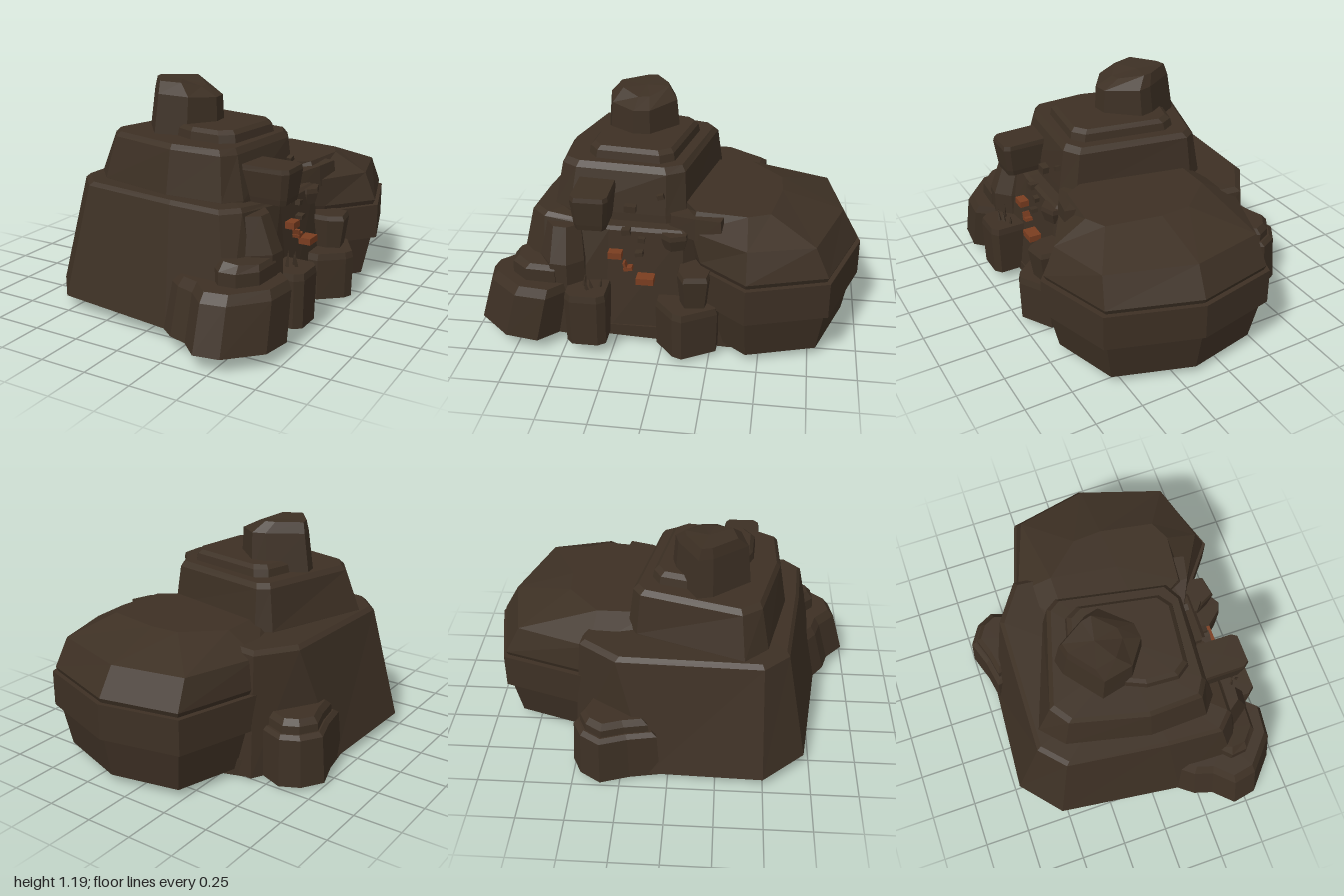
import * as THREE from 'three';

const stone = new THREE.MeshStandardMaterial({ color: 0x3d3024, flatShading: true });
const rust = new THREE.MeshStandardMaterial({ color: 0x7a3d20, flatShading: true });

// Height of the slightly tilted ground plane
const ground = (z) => 0.037 + 0.043 * z;

// Skin a stack of equally long rings of [x, y, z], bottom to top, with closed ends
function loft(name, rings) {
  const n = rings[0].length, pos = [];
  let area = 0;
  rings[0].forEach((a, i) => {
    const b = rings[0][(i + 1) % n];
    area += a[0] * b[2] - b[0] * a[2];
  });
  if (area > 0) rings = rings.map((r) => [...r].reverse());
  const mid = (r) => [0, 1, 2].map((k) => r.reduce((s, p) => s + p[k], 0) / n);
  const lo = rings[0], hi = rings[rings.length - 1], cLo = mid(lo), cHi = mid(hi);
  for (let i = 0; i < n; i++) {
    const j = (i + 1) % n;
    for (let k = 0; k + 1 < rings.length; k++) {
      const a = rings[k], b = rings[k + 1];
      pos.push(...a[i], ...a[j], ...b[j], ...a[i], ...b[j], ...b[i]);
    }
    pos.push(...cLo, ...lo[j], ...lo[i], ...cHi, ...hi[i], ...hi[j]);
  }
  const g = new THREE.BufferGeometry();
  g.setAttribute('position', new THREE.Float32BufferAttribute(pos, 3));
  g.computeVertexNormals();
  const mesh = new THREE.Mesh(g, stone);
  mesh.name = name;
  return mesh;
}

// Outline [x, z] scaled about its middle at each level [y or y(x, z), scale, dx, dz]
function ring(outline, [y, s, dx = 0, dz = 0]) {
  const cx = outline.reduce((t, p) => t + p[0], 0) / outline.length;
  const cz = outline.reduce((t, p) => t + p[1], 0) / outline.length;
  return outline.map((p) => {
    const x = cx + (p[0] - cx) * s + dx, z = cz + (p[1] - cz) * s + dz;
    return [x, typeof y === 'function' ? y(x, z) : y, z];
  });
}
const rock = (name, outline, levels) => loft(name, levels.map((l) => ring(outline, l)));
const floor = (x, z) => ground(z);

export function createModel() {
  const model = new THREE.Group();
  model.name = 'rockyHill';

  // Main body: broad lower tier with a thin bevelled rim, lower above the alcove wall
  const base = [[-0.72, 0.5], [-0.53, 0.72], [0.15, 0.81], [0.5, 0.82], [0.6, 0.62],
    [0.57, 0.3], [0.56, -0.1], [0.3, -0.5], [-0.42, -0.52], [-0.68, -0.1]];
  const rim = [[-0.56, 0.48], [-0.44, 0.61], [0.1, 0.68], [0.39, 0.7], [0.47, 0.62],
    [0.5, 0.28], [0.51, -0.1], [0.25, -0.4], [-0.4, -0.47], [-0.54, -0.27]];
  model.add(loft('lowerTier', [ring(base, [floor, 1]), ring(rim, [(x) => (x > 0.48 ? 0.62 : 0.66), 1]),
    ring(rim, [(x) => (x > 0.46 ? 0.635 : 0.68), 0.96])]));

  // Underside slab
  const slab = [[-0.5, 0.45], [-0.4, 0.62], [0.4, 0.7], [0.57, 0.45], [0.57, -0.35],
    [0.46, -0.62], [0, -0.62], [-0.4, -0.5], [-0.55, -0.1]];
  model.add(rock('underside', slab, [[(x, z) => ground(z) - 0.01, 1], [0.1, 1]]));

  // Upper tiers
  const secondFoot = [[-0.52, 0.38], [-0.41, 0.5], [0.03, 0.6], [0.34, 0.59], [0.41, 0.5],
    [0.43, 0], [0.38, -0.1], [-0.24, -0.23], [-0.32, -0.18]];
  const second = [[-0.44, 0.36], [-0.37, 0.46], [0.03, 0.56], [0.31, 0.55], [0.36, 0.47],
    [0.4, 0], [0.35, -0.09], [-0.23, -0.2], [-0.29, -0.16]];
  const topSlope = (x) => 0.9 - 0.05 * Math.max(0, x - 0.25);
  model.add(loft('secondTier', [ring(secondFoot, [0.6, 1.02]), ring(secondFoot, [0.68, 1]),
    ring(second, [topSlope, 1]), ring(second, [0.925, 0.94])]));
  const third = [[-0.29, 0.2], [-0.12, 0.34], [0.06, 0.42], [0.23, 0.43], [0.3, 0.38],
    [0.34, 0.04], [0.29, -0.03], [-0.15, -0.11], [-0.22, -0.07]];
  model.add(rock('thirdTier', third, [[0.88, 1.02], [0.965, 0.96], [0.985, 0.88]]));

  // Summit knob leaning in on the right, with a sloping crown
  const knob = [[-0.34, 0.13], [-0.32, 0.21], [-0.17, 0.4], [0, 0.36], [0.1, 0.22],
    [0.09, 0.13], [-0.07, -0.01], [-0.15, 0.01]];
  model.add(rock('summit', knob, [[0.9, 1.01], [(x) => 1.13 - 0.12 * Math.max(0, x + 0.08), 0.91, 0.012],
    [(x) => 1.187 - 0.4 * Math.max(0, x + 0.08), 0.66, -0.03]]));

  // Wide rear dome: skirt, overhanging belt and faceted roof running into the hill
  const dome = [[-0.44, -0.4], [-0.28, -0.91], [0.15, -1], [0.62, -0.84], [0.75, -0.43],
    [0.55, -0.18], [0.2, 0], [-0.3, -0.1]];
  model.add(rock('rearSkirt', dome, [[0.04, 0.86], [0.28, 0.95]]));
  model.add(rock('rearBelt', dome, [[0.27, 1], [0.46, 1]]));
  const eave = [[-0.39, -0.42], [-0.25, -0.82], [0.14, -0.9], [0.58, -0.76], [0.67, -0.43],
    [0.5, -0.14], [0.2, 0], [-0.3, -0.1]];
  const crown = [[-0.2, -0.4], [-0.01, -0.57], [0.15, -0.58], [0.44, -0.53], [0.49, -0.42],
    [0.46, -0.16], [0.2, 0], [-0.2, -0.1]];
  model.add(loft('rearDome', [ring(dome, [0.46, 0.95]), ring(dome, [0.485, 0.97]),
    ring(eave, [0.635, 1]), ring(crown, [0.733, 1])]));
  // Spur where the dome roof meets the alcove
  const spur = [[0.3, 0.02], [0.45, -0.02], [0.52, -0.16], [0.55, -0.3], [0.3, -0.35]];
  model.add(rock('domeSpur', spur, [[0.6, 1], [(x, z) => Math.min(0.72, 0.69 - 0.15 * z), 0.92]]));

  // Buttress at the front left corner with its upper lump
  const buttress = [[0.13, 0.8], [0.22, 0.87], [0.32, 0.9], [0.42, 0.995], [0.55, 0.97],
    [0.7, 0.8], [0.72, 0.63], [0.6, 0.52], [0.3, 0.55]];
  model.add(rock('frontButtress', buttress, [[floor, 1], [0.31, 0.97, 0, -0.06], [0.355, 0.89, 0, -0.08]]));
  const lump = [[0.36, 0.72], [0.44, 0.8], [0.53, 0.79], [0.61, 0.7], [0.62, 0.54], [0.4, 0.5]];
  const lumpTop = (x) => 0.47 - 0.12 * Math.max(0, x - 0.4);
  model.add(rock('frontLump', lump, [[0.3, 1], [0.42, 0.96], [lumpTop, 0.84, 0, -0.02]]));

  // Stepped outcrop on the model's right rear flank
  const outcrop = [[-0.75, -0.35], [-0.68, -0.46], [-0.58, -0.51], [-0.42, -0.45], [-0.45, -0.1],
    [-0.67, -0.04], [-0.7, -0.2]];
  model.add(rock('sideOutcrop', outcrop, [[0.02, 1], [0.27, 0.94, 0.01], [0.29, 0.84, 0.02]]));
  model.add(rock('sideOutcropTop', outcrop, [[0.25, 0.8, 0.02], [0.33, 0.76, 0.02], [0.36, 0.64, 0.03]]));

  // Pillars and blocks framing the alcove on the left flank
  const pillar = [[0.38, 0.64], [0.5, 0.65], [0.61, 0.57], [0.62, 0.48], [0.55, 0.4], [0.38, 0.38]];
  model.add(rock('alcovePillar', pillar, [[0.06, 1.04], [0.46, 0.97], [0.64, 0.78, -0.05]]));
  const block = [[0.45, 0.485], [0.68, 0.485], [0.72, 0.45], [0.72, 0.31], [0.69, 0.27], [0.45, 0.27]];
  model.add(rock('alcoveBlock', block, [[0.06, 0.95], [0.31, 1], [0.345, 0.94]]));
  const overhang = [[0.3, 0.455], [0.59, 0.455], [0.62, 0.43], [0.62, 0.28], [0.59, 0.26], [0.3, 0.26]];
  model.add(rock('overhang', overhang, [[0.66, 0.8], [0.69, 0.86], [0.82, 1], [(x) => 0.855 - 0.02 * x, 0.95]]));
  const sideBlock = [[0.45, 0.03], [0.6, 0.03], [0.72, -0.07], [0.74, -0.12], [0.64, -0.29], [0.45, -0.3]];
  model.add(rock('alcoveSideBlock', sideBlock, [[0.03, 0.97], [0.25, 1], [0.285, 0.94]]));
  const shelf = [[0.45, -0.08], [0.6, -0.08], [0.68, -0.12], [0.66, -0.24], [0.45, -0.27]];
  model.add(rock('alcoveShelf', shelf, [[0.28, 0.8], [0.32, 0.85], [0.44, 1], [0.465, 0.9]]));
  const ledge = [[0.38, 0.01], [0.52, 0.01], [0.56, -0.04], [0.53, -0.12], [0.38, -0.13]];
  model.add(rock('alcoveLedge', ledge, [[0.54, 0.8], [0.6, 1], [0.625, 0.95]]));

  // Loose pieces on the alcove wall: [x, y, z, width x, height, width z, tilt]
  const addBox = (name, material, [x, y, z, w, h, d, tilt]) => {
    const m = new THREE.Mesh(new THREE.BoxGeometry(w, h, d), material);
    m.position.set(x, y, z);
    m.rotation.x = tilt;
    m.name = name;
    model.add(m);
  };
  [[0.41, 0.785, 0.025, 0.06, 0.025, 0.035, 0.3], [0.42, 0.715, 0.18, 0.07, 0.035, 0.06, -0.05],
    [0.5, 0.62, 0.19, 0.05, 0.03, 0.045, 0.1], [0.51, 0.585, 0.11, 0.05, 0.025, 0.035, -0.1],
    [0.53, 0.515, 0.12, 0.05, 0.022, 0.04, 0.15]].forEach((b) => addBox('wallStone', stone, b));
  [[0.55, 0.51, 0.24, 0.05, 0.035, 0.07, 0], [0.55, 0.435, 0.175, 0.04, 0.018, 0.045, 0.2],
    [0.55, 0.455, 0.192, 0.04, 0.03, 0.012, 0.3],
    [0.565, 0.385, 0.085, 0.07, 0.035, 0.09, 0]].forEach((b) => addBox('rustyBrick', rust, b));

  // Small spikes on the alcove block
  [[0.6, 0.39, 0.1], [0.62, 0.36, 0.07], [0.6, 0.31, 0.06], [0.64, 0.38, 0.08]].forEach(([x, z, h], i) => {
    const m = new THREE.Mesh(new THREE.ConeGeometry(0.012, h, 4), stone);
    m.position.set(x, 0.335 + h / 2, z);
    m.rotation.x = i % 2 ? 0.2 : -0.15;
    m.name = 'spike';
    model.add(m);
  });
  return model;
}
